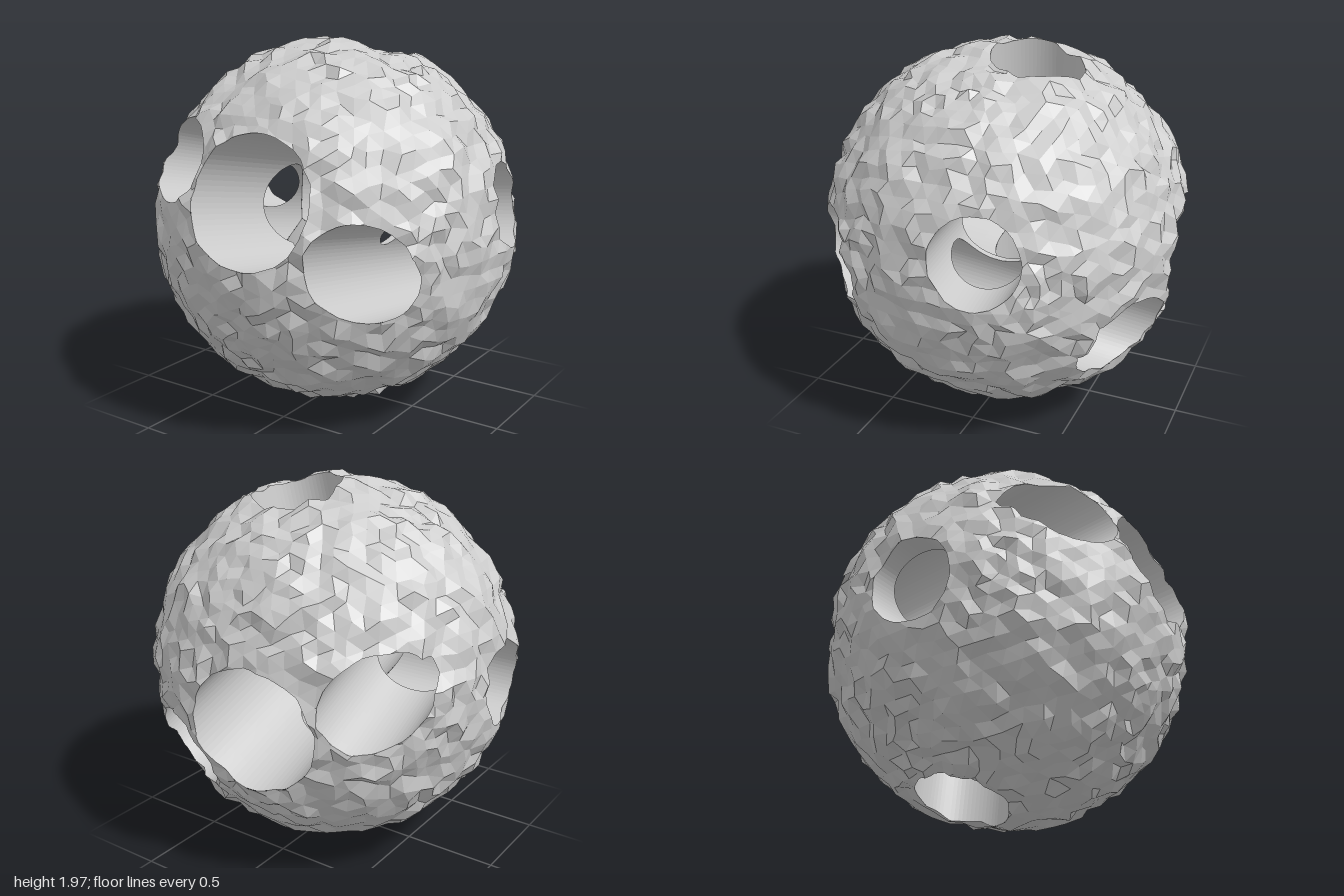
import * as THREE from 'three';

const V = (x, y, z) => new THREE.Vector3(x, y, z);

// Tunnels bored through the rock: two mouth centres (relative to the rock centre) and a radius
const TUNNELS = [
  ['upperRightTunnel', V(-0.46, 0.39, 0.75), V(-0.68, 0.07, -0.69), 0.225],
  ['mainTunnel', V(0.105, 0.26, 0.93), V(-0.15, -0.11, -0.94), 0.325],
  ['lowerLeftTunnel', V(0.61, -0.06, 0.69), V(0.38, -0.37, -0.79), 0.23],
  ['sideTunnel', V(0.94, 0.15, -0.215), V(-0.95, -0.01, 0.14), 0.222],
  ['verticalTunnel', V(0.1, 0.95, -0.2), V(-0.28, -0.92, -0.07), 0.238],
].map(([name, a, b, r]) => ({ name, r, a, b, dir: a.clone().sub(b).normalize() }));

// Signed distance to a tunnel: positive is outside the bore
const outside = (t, p) => p.clone().sub(t.a).cross(t.dir).length() - t.r;

// Repeatable pseudo-random value from -1 to 1 for a grid position
function hash(p, seed) {
  const k = (v) => Math.round(v * 1000);
  const s = Math.sin(k(p.x) * 0.1271 + k(p.y) * 0.3117 + k(p.z) * 0.0747 + seed * 17.3) * 43758.5453;
  return (s - Math.floor(s)) * 2 - 1;
}

// Rough stone surface from a finely divided icosahedron
function rockGeometry() {
  const geo = new THREE.IcosahedronGeometry(1, 14);
  const pos = geo.attributes.position;
  const p = new THREE.Vector3();
  for (let i = 0; i < pos.count; i++) {
    p.fromBufferAttribute(pos, i).normalize();
    const lumps = Math.sin(p.x * 9 + 2 * p.y) * Math.sin(p.y * 8 + 1) * Math.sin(p.z * 9 + 2);
    const radius = 0.968 + 0.02 * hash(p, 1) + 0.012 * lumps;
    const shift = V(hash(p, 2), hash(p, 3), hash(p, 4)).multiplyScalar(0.014);
    p.add(shift).normalize().multiplyScalar(radius);
    pos.setXYZ(i, p.x, p.y, p.z);
  }
  return geo;
}

// Point where the edge from p (outside) to q (inside) meets the bore
function crossing(t, p, q) {
  const lo = p.clone(), hi = q.clone();
  for (let i = 0; i < 14; i++) {
    const mid = lo.clone().lerp(hi, 0.5);
    (outside(t, mid) > 0 ? lo : hi).copy(mid);
  }
  return lo;
}

// Cut a polygon so that only the part outside the bore remains
function clip(poly, t) {
  const d = poly.map((p) => outside(t, p));
  if (d.every((v) => v > 0)) return poly;
  const out = [];
  poly.forEach((p, i) => {
    const j = (i + 1) % poly.length;
    if (d[i] > 0) out.push(p);
    if (d[i] > 0 !== d[j] > 0) {
      out.push(d[i] > 0 ? crossing(t, p, poly[j]) : crossing(t, poly[j], p));
    }
  });
  return out;
}

// Clip polygons by several bores and join what remains as flat triangles
function carve(polys, bores) {
  const data = [];
  for (const source of polys) {
    let poly = source;
    for (const t of bores) if (poly.length) poly = clip(poly, t);
    for (let i = 1; i + 1 < poly.length; i++) {
      for (const p of [poly[0], poly[i], poly[i + 1]]) data.push(p.x, p.y + 1, p.z);
    }
  }
  const geo = new THREE.BufferGeometry();
  geo.setAttribute('position', new THREE.Float32BufferAttribute(data, 3));
  geo.computeVertexNormals();
  return geo;
}

// Inward-facing wall of one tunnel, ending exactly at the rock surface
function wallPolys(t, rock) {
  const sides = 72, steps = 28;
  const u = V(0.3, 0.5, 0.8).cross(t.dir).normalize();
  const w = t.dir.clone().cross(u);
  const middle = t.a.clone().lerp(t.b, 0.5);
  const ray = new THREE.Raycaster();
  const reach = (o, d) => {
    ray.set(o, d);
    const hits = ray.intersectObject(rock);
    return hits.length ? hits[hits.length - 1].point.clone() : o.clone();
  };
  const lines = [];
  for (let i = 0; i < sides; i++) {
    const angle = (i / sides) * Math.PI * 2;
    const o = middle.clone().addScaledVector(u, t.r * Math.cos(angle)).addScaledVector(w, t.r * Math.sin(angle));
    const start = reach(o, t.dir.clone().negate()), end = reach(o, t.dir);
    lines.push(Array.from({ length: steps + 1 }, (_, k) => start.clone().lerp(end, k / steps)));
  }
  const polys = [];
  for (let i = 0; i < sides; i++) {
    const p = lines[i], q = lines[(i + 1) % sides];
    for (let k = 0; k < steps; k++) {
      polys.push([p[k], p[k + 1], q[k + 1]], [p[k], q[k + 1], q[k]]);
    }
  }
  return polys;
}

export function createModel() {
  const group = new THREE.Group();
  group.name = 'boredRock';
  const stone = new THREE.MeshStandardMaterial({ color: 0xcccccc, flatShading: true });
  stone.name = 'greyStone';
  const add = (name, geometry) => {
    const mesh = new THREE.Mesh(geometry, stone);
    mesh.name = name;
    group.add(mesh);
  };

  // Outer shell with the tunnel mouths cut out
  const rockGeo = rockGeometry();
  const pos = rockGeo.attributes.position;
  const faces = [];
  for (let i = 0; i < pos.count; i += 3) {
    faces.push([0, 1, 2].map((k) => new THREE.Vector3().fromBufferAttribute(pos, i + k)));
  }
  add('rockShell', carve(faces, TUNNELS));

  // Tunnel walls, opened where other tunnels cross them
  const solid = new THREE.Mesh(rockGeo, new THREE.MeshStandardMaterial({ side: THREE.DoubleSide }));
  for (const t of TUNNELS) {
    add(t.name + 'Wall', carve(wallPolys(t, solid), TUNNELS.filter((o) => o !== t)));
  }
  return group;
}
